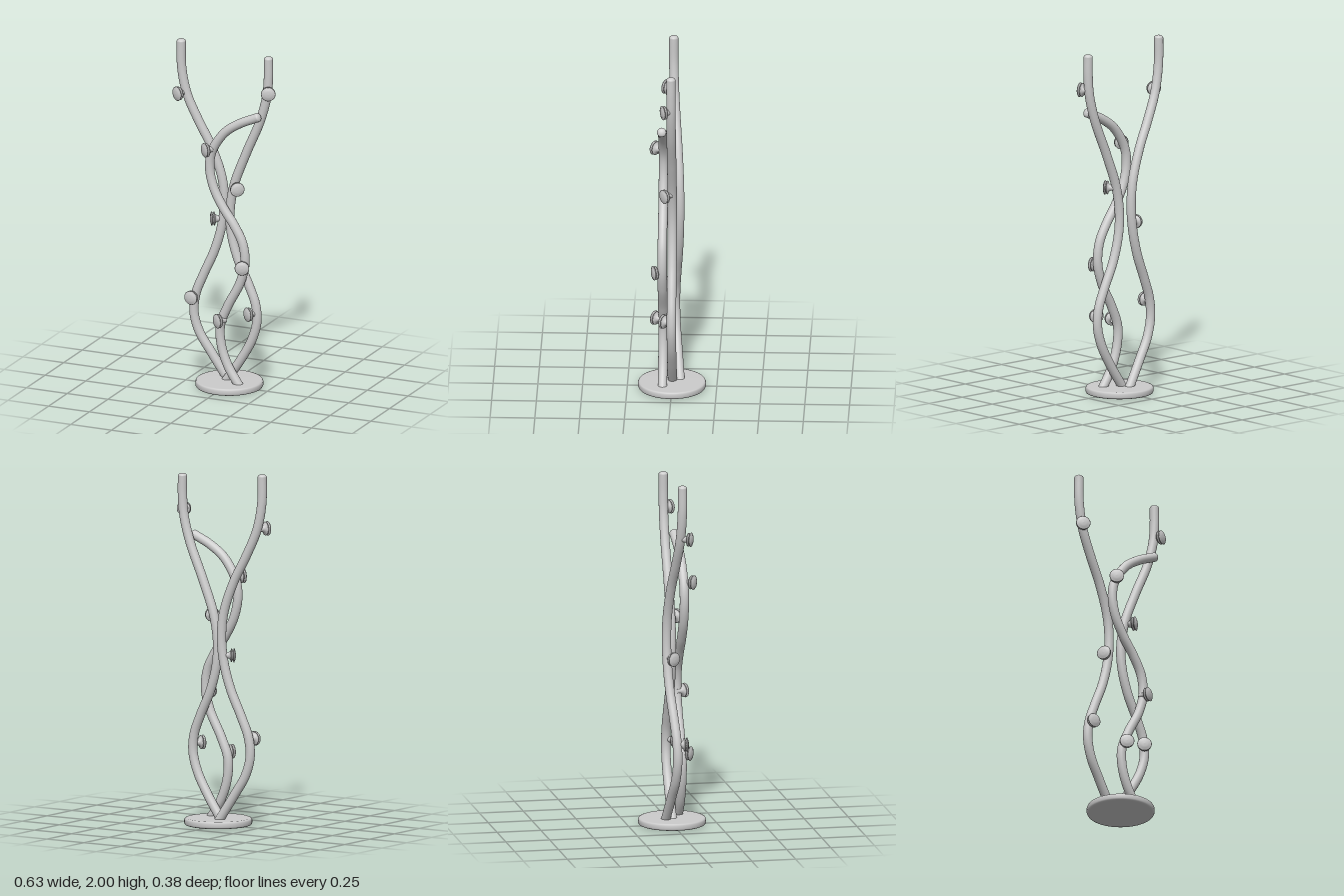
import * as THREE from 'three';

const material = new THREE.MeshStandardMaterial({ color: 0xcccccc, side: THREE.DoubleSide });
const R = 0.026;
const UP = new THREE.Vector3(0, 1, 0);

function mesh(name, geometry) {
  const m = new THREE.Mesh(geometry, material);
  m.name = name;
  return m;
}

// Round stem through [x, y] points; depth(x) gives the plane it sways in
function branch(name, points, depth) {
  const group = new THREE.Group();
  group.name = name;
  const curve = new THREE.CatmullRomCurve3(points.map(([x, y]) => new THREE.Vector3(x, y, depth(x))));
  group.add(mesh('stem', new THREE.TubeGeometry(curve, 140, R, 20)));
  // softly domed tip
  const tip = mesh('tip', new THREE.SphereGeometry(R, 20, 8, 0, Math.PI * 2, 0, Math.PI / 2));
  tip.scale.y = 0.6;
  tip.position.copy(curve.getPoint(1));
  tip.quaternion.setFromUnitVectors(UP, curve.getTangent(1));
  group.add(tip);
  return group;
}

// Turned hook knob: neck, two thin flanges and a low domed cap
const knobProfile = [
  [0.016, 0], [0.017, 0.026], [0.026, 0.038], [0.037, 0.041], [0.039, 0.044], [0.037, 0.047],
  [0.027, 0.049], [0.027, 0.053], [0.038, 0.055], [0.041, 0.058], [0.038, 0.061],
  [0.029, 0.062], [0.027, 0.065], [0.015, 0.067], [0, 0.068],
].map(([r, y]) => new THREE.Vector2(r, y));
const knobGeometry = new THREE.LatheGeometry(knobProfile, 28);

function knob([x, y, z, dx, dz]) {
  const k = mesh('knob', knobGeometry);
  k.position.set(x, y, z);
  k.quaternion.setFromUnitVectors(UP, new THREE.Vector3(dx, 0, dz).normalize());
  return k;
}

export function createModel() {
  const model = new THREE.Group();
  model.name = 'coatStand';

  // Round foot with softened rims
  const footProfile = [
    [0, 0], [0.178, 0], [0.186, 0.003], [0.19, 0.011], [0.19, 0.029],
    [0.186, 0.037], [0.178, 0.04], [0, 0.04],
  ].map(([r, y]) => new THREE.Vector2(r, y));
  const foot = mesh('base', new THREE.LatheGeometry(footProfile, 64));
  foot.position.x = 0.017;
  model.add(foot);

  // Three intertwined stems
  model.add(branch('tallBranch', [
    [-0.01, 0.02], [-0.11, 0.18], [-0.175, 0.29], [-0.205, 0.4], [-0.195, 0.51], [-0.15, 0.63],
    [-0.09, 0.77], [-0.05, 0.91], [-0.033, 1.05], [-0.045, 1.2], [-0.105, 1.38],
    [-0.18, 1.53], [-0.245, 1.68], [-0.275, 1.83], [-0.278, 1.985],
  ], (x) => -0.047 - 0.17 * x));

  model.add(branch('middleBranch', [
    [-0.01, 0.02], [0.09, 0.17], [0.155, 0.29], [0.185, 0.4], [0.177, 0.5], [0.135, 0.61],
    [0.07, 0.75], [0.03, 0.89], [0.02, 1.02], [0.045, 1.18], [0.12, 1.38],
    [0.205, 1.58], [0.246, 1.73], [0.256, 1.84], [0.256, 1.95],
  ], () => -0.002));

  model.add(branch('frontBranch', [
    [0.105, 0.02], [0.03, 0.14], [-0.01, 0.26], [-0.014, 0.37], [0.03, 0.485], [0.105, 0.63],
    [0.136, 0.75], [0.122, 0.865], [0.07, 0.965], [0, 1.065], [-0.055, 1.17],
    [-0.08, 1.28], [-0.067, 1.38], [0.01, 1.5], [0.1, 1.565], [0.215, 1.618],
  ], () => 0.051));

  // Knobs: x, y, z of the root, then outward direction in x and z
  const knobs = [
    [-0.255, 1.69, -0.003, -0.48, 0.88],
    [0.253, 1.76, -0.01, 0.39, 0.92],
    [-0.053, 1.4, 0.056, -0.6, 0.78],
    [0.052, 1.175, -0.002, 0.6, 0.8],
    [-0.045, 0.965, -0.038, -0.86, 0.5],
    [0.118, 0.735, 0.045, 0.37, 0.93],
    [0.182, 0.45, 0, -0.57, 0.82],
    [0.018, 0.405, 0.051, -0.55, 0.83],
    [-0.197, 0.5, -0.016, -0.07, 1],
  ];
  knobs.forEach((k) => model.add(knob(k)));

  return model;
}
